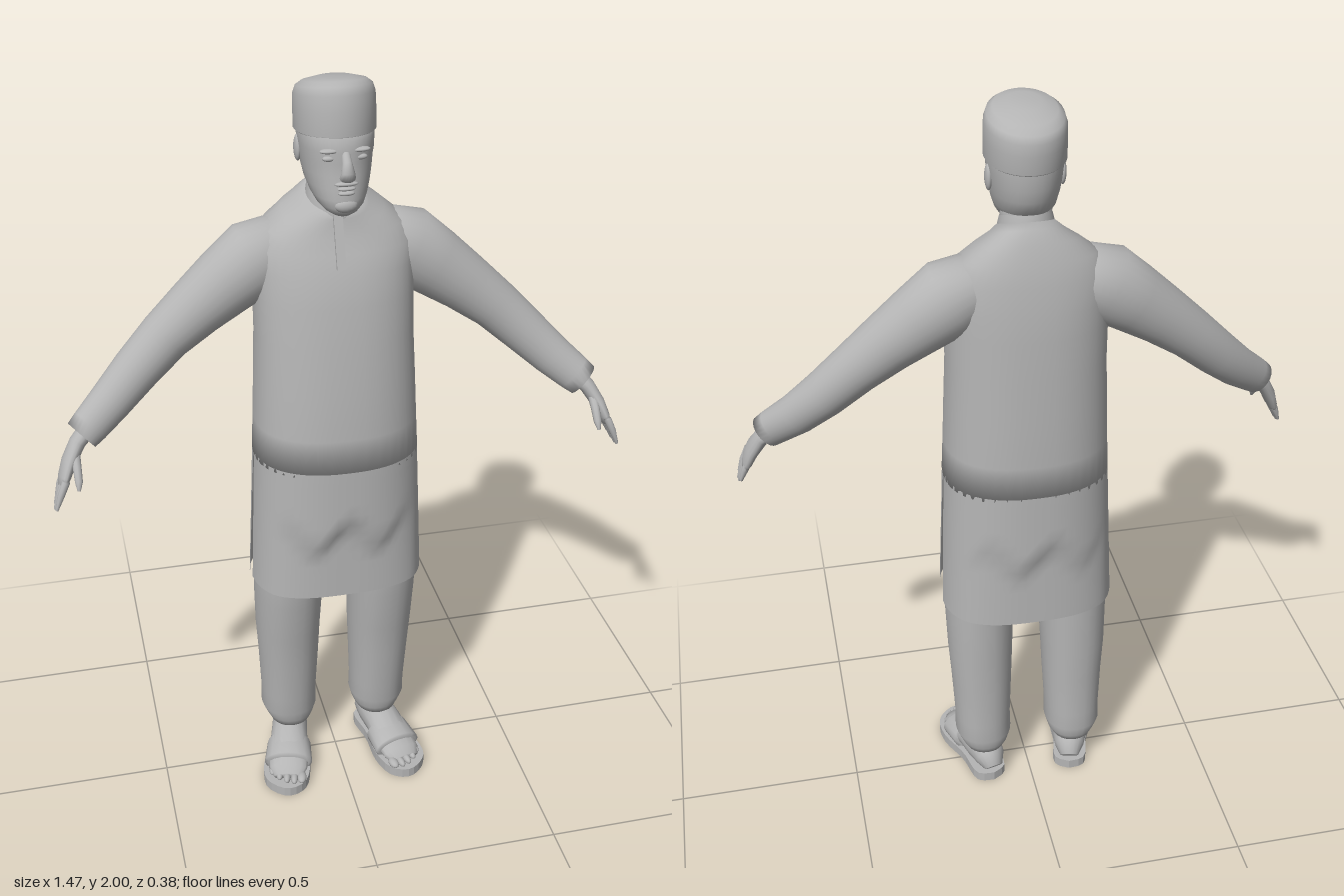
import * as THREE from 'three';

const grey = new THREE.MeshStandardMaterial({ color: 0xb4b4b4, side: THREE.DoubleSide });
grey.name = 'plain grey';

// Skin a stack of point rows; closed rows wrap round and get fan caps
function skin(rows, closed = true, caps = true) {
  const n = rows[0].length, pos = [], idx = [];
  rows.forEach(r => r.forEach(p => pos.push(p.x, p.y, p.z)));
  for (let i = 0; i < rows.length - 1; i++) {
    for (let j = 0; j < (closed ? n : n - 1); j++) {
      const k = (j + 1) % n, a = i * n + j, b = i * n + k;
      idx.push(a, a + n, b, b, a + n, b + n);
    }
  }
  if (closed && caps) {
    [0, rows.length - 1].forEach(i => {
      const c = rows[i].reduce((s, p) => s.add(p), new THREE.Vector3()).divideScalar(n);
      const m = pos.length / 3;
      pos.push(c.x, c.y, c.z);
      for (let j = 0; j < n; j++) {
        const a = i * n + j, b = i * n + (j + 1) % n;
        if (i) idx.push(m, b, a); else idx.push(m, a, b);
      }
    });
  }
  const g = new THREE.BufferGeometry();
  g.setAttribute('position', new THREE.Float32BufferAttribute(pos, 3));
  g.setIndex(idx);
  g.computeVertexNormals();
  return g;
}

const bend = (v, p) => Math.sign(v) * Math.pow(Math.abs(v), 2 / p);

// Level ring or arc: [y, half width, front z, back z, tilt, centre x]
function ring([y, w, zf, zb, tilt = 0, cx = 0], n = 32, p = 2, from = 0, to = Math.PI * 2) {
  const full = to - from > 6.28, zc = (zf + zb) / 2;
  return Array.from({ length: n }, (_, j) => {
    const t = from + (to - from) * j / (full ? n : n - 1);
    const dz = bend(Math.sin(t), p) * (zf - zb) / 2;
    return new THREE.Vector3(cx + bend(Math.cos(t), p) * w, y + tilt * dz, zc + dz);
  });
}
const column = (table, n = 32, p = 2, caps = true) => skin(table.map(s => ring(s, n, p)), true, caps);

// Oval tube along a path: each stop is [x, y, z, across, along hint]
function limb(stops, hint = new THREE.Vector3(0, 0, 1), n = 16) {
  const at = i => new THREE.Vector3(...stops[Math.max(0, Math.min(stops.length - 1, i))].slice(0, 3));
  return skin(stops.map((s, i) => {
    const T = at(i + 1).sub(at(i - 1)).normalize();
    const v = hint.clone().addScaledVector(T, -hint.dot(T)).normalize();
    const u = T.clone().cross(v);
    return Array.from({ length: n }, (_, j) => {
      const t = j / n * Math.PI * 2;
      return at(i).addScaledVector(u, Math.cos(t) * s[3]).addScaledVector(v, Math.sin(t) * s[4]);
    });
  }));
}

function ball(x, y, z, rx, ry, rz) {
  return new THREE.SphereGeometry(1, 16, 12).scale(rx, ry, rz).translate(x, y, z);
}

// Mirror across x = 0, keeping faces outward
function mirrored(g) {
  const m = g.index ? g.clone() : g.clone().setIndex([...Array(g.attributes.position.count).keys()]);
  m.scale(-1, 1, 1);
  const a = m.index.array;
  for (let i = 0; i < a.length; i += 3) [a[i], a[i + 1]] = [a[i + 1], a[i]];
  return m;
}

export function createModel() {
  const model = new THREE.Group();
  model.name = 'standingMan';
  const add = (name, g) => {
    const m = new THREE.Mesh(g, grey);
    m.name = name;
    model.add(m);
  };
  const pair = (name, g) => { add('left' + name, g); add('right' + name, mirrored(g)); };

  // Long shirt: body above the side slits
  add('shirtBody', column([
    [1.02, .215, .165, -.18], [1.12, .21, .159, -.179], [1.24, .205, .148, -.175],
    [1.36, .2, .132, -.169], [1.46, .2, .117, -.164], [1.53, .2, .1, -.158, .05],
    [1.59, .2, .08, -.148, -.05], [1.635, .17, .066, -.135, -.15],
    [1.67, .125, .058, -.12, -.25], [1.695, .085, .055, -.105, -.38], [1.71, .066, .05, -.09, -.4],
  ], 40, 2.35));

  // Front and back skirt panels with soft hem folds
  const skirt = (front) => {
    const rows = [];
    for (let i = 0; i <= 12; i++) {
      const k = i / 12, hem = front ? .645 : .625, y = hem + (1.03 - hem) * k;
      const gap = .01 + .07 * (1 - k);
      const s = [y, .214 + .018 * (1 - k), .165 + .007 * (1 - k), -.18 - .01 * (1 - k)];
      const row = front ? ring(s, 33, 2.35, gap, Math.PI - gap)
        : ring(s, 33, 2.35, Math.PI + gap, Math.PI * 2 - gap);
      row.forEach(p => {
        const mid = Math.max(0, 1 - Math.pow(p.x / .19, 2));
        const edge = .83 + .035 * Math.cos(p.x * 38 + (front ? 0 : 1.5));
        const drop = THREE.MathUtils.smoothstep(edge - p.y, -.03, .03);
        p.z += (front ? -.022 : .018) * drop * mid;
      });
      rows.push(row);
    }
    return skin(rows, false);
  };
  add('skirtFront', skirt(true));
  add('skirtBack', skirt(false));

  // Stand collar and neck placket
  add('collar', column([[1.685, .07, .056, -.096, -.4], [1.71, .067, .054, -.09, -.4],
    [1.73, .062, .048, -.084, -.4]], 32, 2, false));
  const placket = new THREE.BoxGeometry(.022, .13, .008);
  placket.rotateX(-.33).translate(-.008, 1.62, .083);
  add('placket', placket);

  // Sleeves with a loose cuff
  pair('Sleeve', limb([
    [.1, 1.59, -.045, .07, .075], [.19, 1.545, -.046, .098, .088], [.26, 1.495, -.042, .088, .08],
    [.34, 1.435, -.034, .076, .07], [.42, 1.37, -.025, .066, .062], [.5, 1.295, -.006, .06, .056],
    [.57, 1.23, .022, .054, .048], [.625, 1.185, .05, .049, .04], [.648, 1.166, .06, .045, .038],
    [.642, 1.171, .057, .034, .03],
  ], undefined, 24));

  // Hands: palm, four fingers and thumb
  pair('Palm', limb([[.625, 1.185, .05, .022, .026], [.66, 1.15, .063, .02, .026],
    [.685, 1.11, .08, .018, .036], [.7, 1.075, .093, .015, .038], [.708, 1.055, .1, .01, .034]]));
  for (let f = 0; f < 4; f++) {
    const z = .07 + f * .02, len = [.8, .95, 1, .9][f];
    pair('Finger' + (f + 1), limb([[.698, 1.08, z, .01, .011],
      [.698 + .018 * len, 1.08 - .04 * len, z + .004, .009, .01],
      [.698 + .033 * len, 1.08 - .08 * len, z + .008, .004, .005]], undefined, 10));
  }
  pair('Thumb', limb([[.668, 1.135, .08, .011, .012], [.668, 1.105, .115, .012, .011],
    [.668, 1.08, .137, .01, .01], [.67, 1.06, .147, .004, .004]], new THREE.Vector3(1, 0, 0), 10));

  // Loose trousers gathered at the ankle
  pair('TrouserLeg', column([
    [.115, .058, .03, -.112, 0, .128], [.135, .068, .036, -.12, 0, .128],
    [.165, .078, .044, -.126, 0, .13], [.22, .077, .048, -.124, 0, .13],
    [.35, .083, .064, -.124, 0, .13], [.45, .088, .075, -.127, 0, .131],
    [.58, .092, .1, -.128, 0, .13], [.7, .094, .11, -.13, 0, .128], [.95, .095, .11, -.13, 0, .11],
  ], 28, 2.2));

  // Feet in open sandals, turned slightly outward
  const place = g => g.rotateY(.23).translate(.137, 0, 0);
  const side = new THREE.Vector3(1, 0, 0);
  const outline = new THREE.Shape();
  outline.moveTo(0, -.113);
  outline.splineThru([[.045, -.09], [.05, 0], [.07, .09], [.058, .16], [0, .195], [-.05, .165],
    [-.062, .09], [-.046, 0], [-.043, -.09], [0, -.113]].map(p => new THREE.Vector2(...p)));
  const sole = new THREE.ExtrudeGeometry(outline, { depth: .028, bevelEnabled: false, curveSegments: 3 });
  pair('Sole', place(sole.rotateX(Math.PI / 2).translate(0, .028, 0)));
  pair('Foot', place(limb([[0, .05, -.11, .024, .026], [0, .07, -.085, .045, .042],
    [0, .075, -.04, .055, .05], [0, .07, .015, .05, .052], [0, .053, .08, .036, .058],
    [0, .042, .13, .022, .054], [0, .036, .155, .014, .04]], side)));
  pair('SandalStrap', place(limb([[0, .055, .03, .042, .052], [0, .054, .035, .05, .062],
    [0, .046, .105, .04, .068], [0, .045, .11, .032, .06]], side)));
  for (let i = 0; i < 5; i++) {
    pair('Toe' + (i + 1), place(ball(-.04 + i * .021, .037, .163 - .004 * (i - 1) ** 2,
      i ? .01 : .013, .011, .022)));
  }
  pair('Ankle', column([[.06, .04, .02, -.095, 0, .128], [.15, .044, .015, -.095, 0, .128]], 20));

  // Neck and head
  add('neck', column([[1.65, .06, .04, -.085], [1.72, .06, .045, -.08], [1.79, .066, .05, -.09]]));
  add('head', column([
    [1.69, .022, .098, .04], [1.7, .04, .113, 0], [1.715, .055, .121, -.03], [1.735, .066, .122, -.065],
    [1.76, .075, .118, -.095], [1.79, .081, .115, -.108], [1.82, .085, .111, -.114],
    [1.845, .088, .113, -.116], [1.87, .09, .108, -.117], [1.9, .088, .095, -.115],
  ], 32, 2.15));

  // Face
  add('nose', limb([[0, 1.848, .105, .006, .009], [0, 1.825, .122, .012, .012],
    [0, 1.806, .135, .015, .016], [0, 1.793, .128, .012, .019], [0, 1.785, .112, .006, .014]], side));
  add('moustache', ball(0, 1.775, .116, .028, .006, .009));
  add('upperLip', ball(0, 1.764, .117, .022, .005, .009));
  add('lowerLip', ball(0, 1.753, .117, .02, .006, .009));
  add('chin', ball(0, 1.722, .111, .028, .018, .015));
  pair('Eye', ball(.037, 1.832, .099, .016, .007, .009));
  pair('Brow', ball(.036, 1.85, .1, .024, .006, .012));
  pair('Ear', ball(.087, 1.825, -.015, .009, .032, .019));

  // Round cap, higher at the front
  add('cap', column([
    [1.868, .091, .102, -.117, .08], [1.872, .096, .106, -.121, .08], [1.92, .096, .1, -.122, .14],
    [1.952, .095, .094, -.122, .18], [1.97, .089, .085, -.114, .2],
    [1.982, .074, .069, -.092, .2], [1.992, .04, .045, -.045, .15],
  ], 36, 2.05));

  return model;
}
